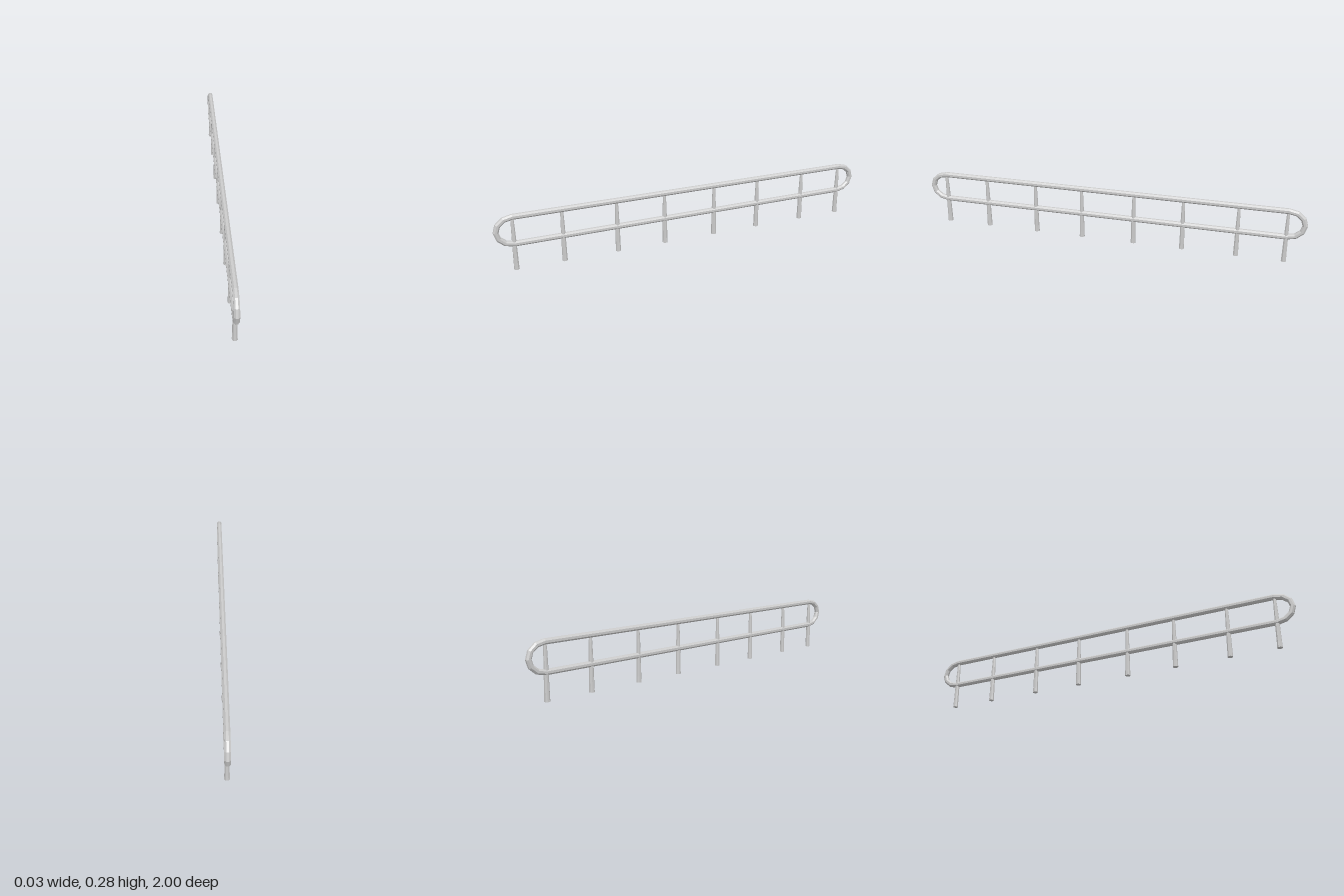
import * as THREE from 'three';

const SIDES = 8;
const APOTHEM = 0.013; // half width of the rail across its flats
const RAIL_Y = 0.201; // height of the loop's middle line

// Octagonal rail swept round a closed stadium path in the YZ plane
function railGeometry() {
  const steps = 6, endZ = 0.906, rz = 0.081, ry = 0.068;
  const rings = [];
  for (const end of [1, -1]) {
    for (let i = 0; i <= steps; i++) {
      const a = Math.PI / 2 - (i / steps) * Math.PI;
      const c = Math.cos(a) * end, s = Math.sin(a) * end;
      rings.push({ z: end * endZ + c * rz, y: RAIL_Y + s * ry, c, s });
    }
  }
  const radius = APOTHEM / Math.cos(Math.PI / SIDES);
  const positions = [], index = [];
  rings.forEach((ring, i) => {
    const next = (i + 1) % rings.length;
    for (let j = 0; j < SIDES; j++) {
      const a = ((j + 0.5) / SIDES) * Math.PI * 2;
      const out = Math.cos(a) * radius;
      positions.push(Math.sin(a) * radius, ring.y + ring.s * out, ring.z + ring.c * out);
      const k = (j + 1) % SIDES;
      const p = i * SIDES + j, q = i * SIDES + k;
      const r = next * SIDES + j, t = next * SIDES + k;
      index.push(p, r, q, q, r, t);
    }
  });
  const geometry = new THREE.BufferGeometry();
  geometry.setAttribute('position', new THREE.Float32BufferAttribute(positions, 3));
  geometry.setIndex(index);
  geometry.computeVertexNormals();
  return geometry;
}

// Octagonal post, stepping in above the lower rail and towards the top
function postGeometry() {
  const profile = [[0, 0], [0.0135, 0], [0.0125, 0.03], [0.0112, 0.13], [0.0095, 0.2], [0.0085, 0.235], [0.0065, 0.268]]
    .map(([x, y]) => new THREE.Vector2(x, y));
  return new THREE.LatheGeometry(profile, SIDES, Math.PI / SIDES);
}

export function createModel() {
  const model = new THREE.Group();
  model.name = 'railing';
  const material = new THREE.MeshStandardMaterial({ color: 0xcccccc, flatShading: true });

  const rail = new THREE.Mesh(railGeometry(), material);
  rail.name = 'railLoop';
  model.add(rail);

  const posts = new THREE.Group();
  posts.name = 'posts';
  const geometry = postGeometry();
  [0.906, 0.67, 0.395, 0.141, -0.137, -0.392, -0.667, -0.903].forEach((z, i) => {
    const post = new THREE.Mesh(geometry, material);
    post.name = `post${i + 1}`;
    post.position.z = z;
    posts.add(post);
  });
  model.add(posts);
  return model;
}
